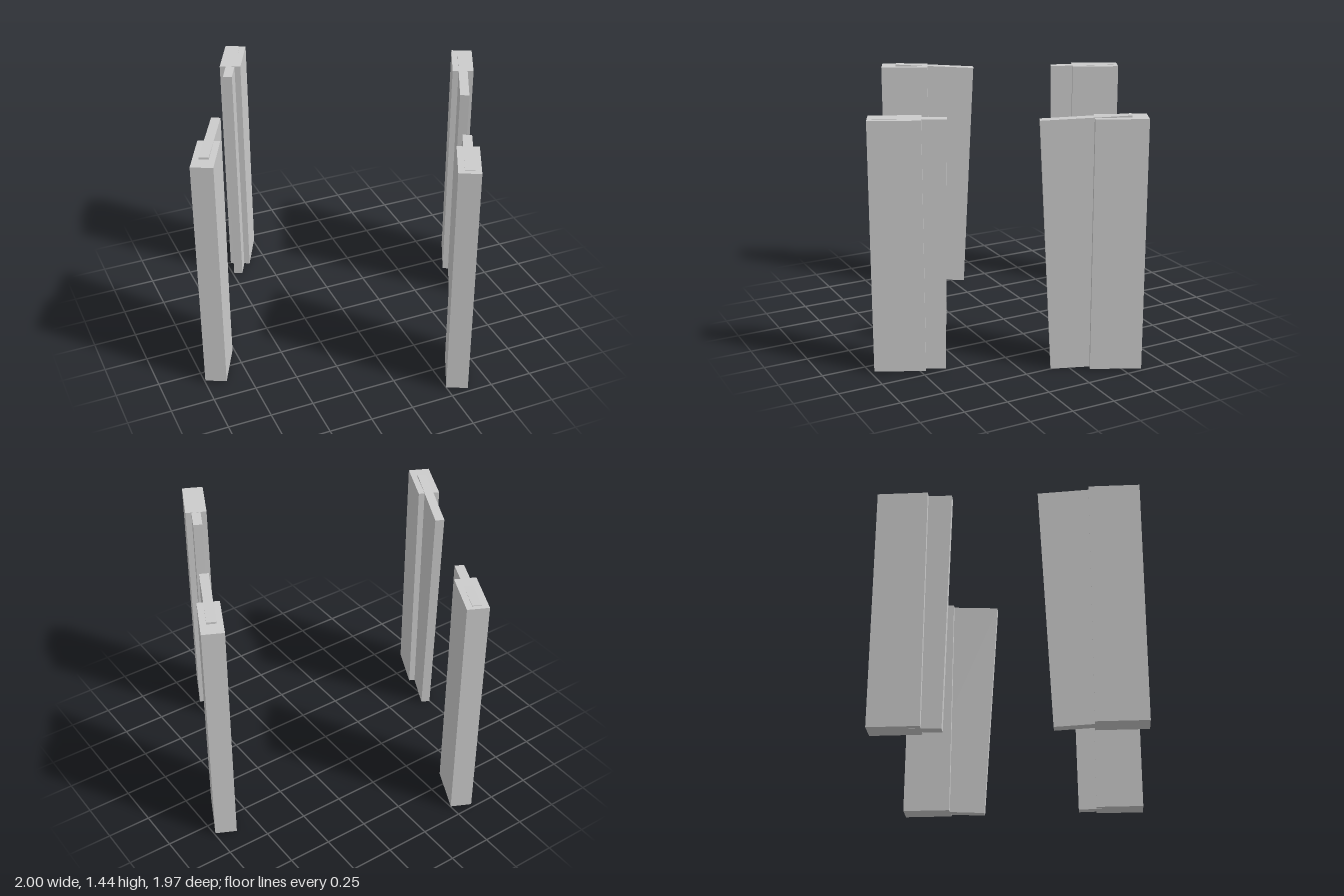
import * as THREE from 'three';

const material = new THREE.MeshStandardMaterial({ color: 0xcccccc, flatShading: true });
const HEIGHT = 1.415;
const MID_Y = 0.722;
const TURN = -0.449;

function slab(name, width, length) {
  const mesh = new THREE.Mesh(new THREE.BoxGeometry(width, HEIGHT, length), material);
  mesh.name = name;
  return mesh;
}

// A thick upright post with a thinner panel leaning out of its local +z end
function createPillar(name, x, z, turn, panelLength, panelOffset, lean) {
  const pillar = new THREE.Group();
  pillar.name = name;
  const post = slab('post', 0.123, 0.284);
  const panel = slab('panel', 0.053, panelLength);
  panel.position.z = panelOffset;
  panel.rotation.x = lean;
  pillar.add(post, panel);
  pillar.position.set(x, MID_Y, z);
  pillar.rotation.y = turn;
  return pillar;
}

export function createModel() {
  const model = new THREE.Group();
  model.name = 'pillars';

  // Each pair is repeated half a turn around the centre
  for (let i = 0; i < 2; i++) {
    const pair = new THREE.Group();
    pair.name = i === 0 ? 'leftPair' : 'rightPair';
    pair.add(
      createPillar('widePillar', 0.881, -0.235, TURN, 0.484, 0.15, 0.051),
      createPillar('narrowPillar', 0.361, 0.832, TURN + Math.PI, 0.39, 0.068, 0.017)
    );
    pair.rotation.y = i * Math.PI;
    model.add(pair);
  }
  return model;
}
